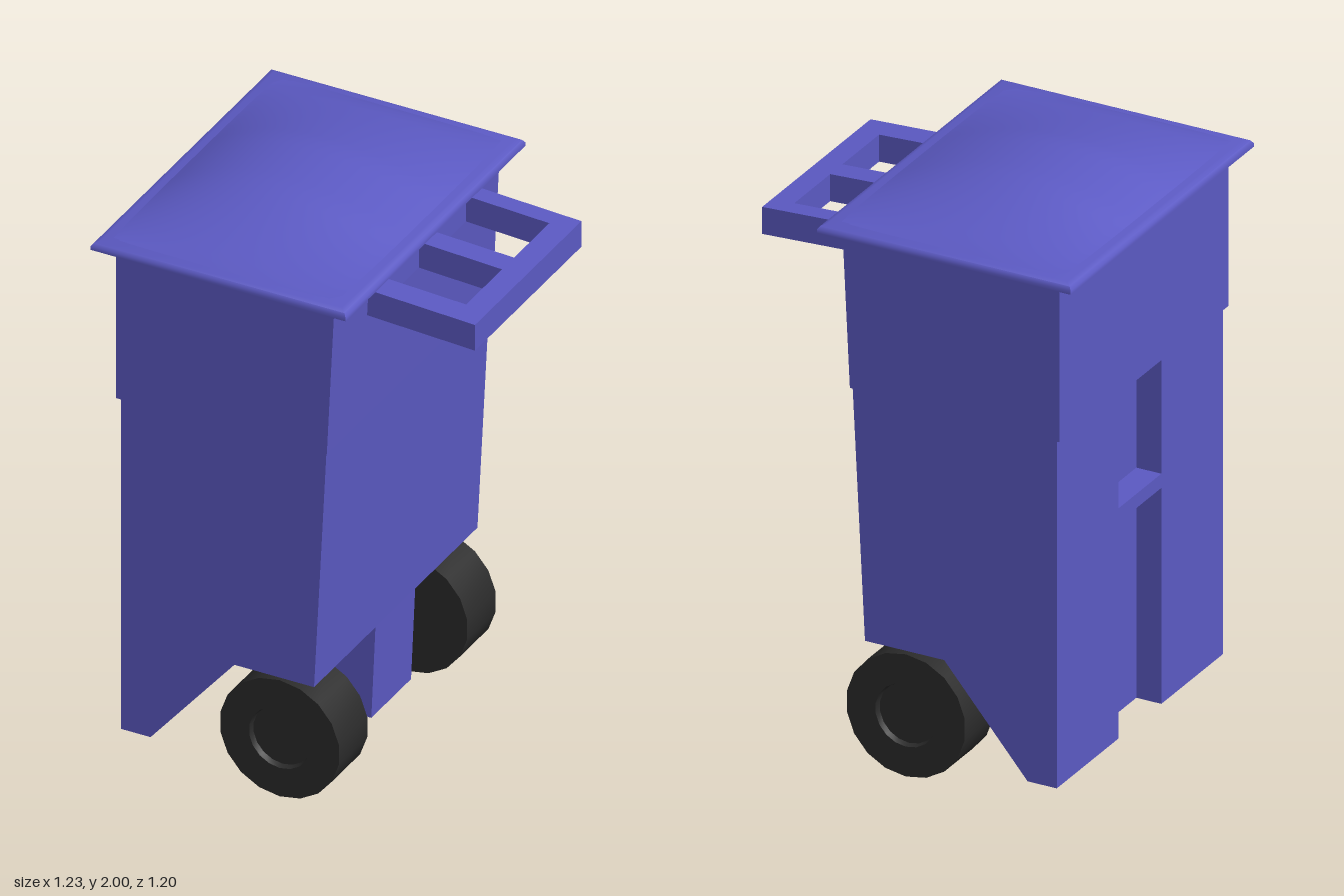
import * as THREE from 'three';
import { toCreasedNormals } from 'three/addons/utils/BufferGeometryUtils.js';

const plastic = new THREE.MeshStandardMaterial({ color: 0x5c5ac4 });
const rubber = new THREE.MeshStandardMaterial({ color: 0x2b2b2b });

const shapeOf = (pts) => new THREE.Shape(pts.map(([x, y]) => new THREE.Vector2(x, y)));

// Extrude a side profile (x, y) between two z values
function slab(name, pts, z0, z1) {
  const geo = new THREE.ExtrudeGeometry(shapeOf(pts), { depth: z1 - z0, bevelEnabled: false });
  geo.translate(0, 0, z0);
  const mesh = new THREE.Mesh(geo, plastic);
  mesh.name = name;
  return mesh;
}

function box(name, x0, x1, y0, y1, z0, z1) {
  const geo = new THREE.BoxGeometry(x1 - x0, y1 - y0, z1 - z0);
  geo.translate((x0 + x1) / 2, (y0 + y1) / 2, (z0 + z1) / 2);
  const mesh = new THREE.Mesh(geo, plastic);
  mesh.name = name;
  return mesh;
}

// Bin body with sloped wheel recess; the middle slab is set back to leave a groove
function makeBody() {
  const body = new THREE.Group();
  body.name = 'body';
  const profile = (x) => [[x, 0.1], [-0.43, 0.1], [-0.13, 0.455], [0.155, 0.455], [0.2, 1.35], [x, 1.35]];
  body.add(
    slab('bodySideLeft', profile(-0.535), 0.14, 0.545),
    slab('bodySideRight', profile(-0.535), -0.545, -0.14),
    slab('bodyMiddle', profile(-0.445), -0.14, 0.14),
    box('grooveCrossbar', -0.535, -0.44, 0.86, 0.91, -0.14, 0.14),
    slab('axleBlock', [[-0.13, 0.115], [0.14, 0.115], [0.155, 0.46], [-0.13, 0.46]], -0.13, 0.135),
    slab('upperBand', [[-0.55, 1.325], [-0.35, 1.317], [-0.19, 1.314], [0, 1.322], [0.205, 1.337],
      [0.232, 1.89], [-0.55, 1.89]], -0.553, 0.553)
  );
  return body;
}

// Lid: a bevelled rim plate with a domed panel on top
function makeLid() {
  const lid = new THREE.Group();
  lid.name = 'lid';
  const rings = [[0, 1.88], [0, 1.893], [0.008, 1.904], [0.025, 1.911]];
  const pos = [], idx = [];
  rings.forEach(([inset, y]) => {
    const x0 = -0.615 + inset, x1 = 0.297 - inset, z = 0.6 - inset;
    pos.push(x0, y, z, x1, y, z, x1, y, -z, x0, y, -z);
  });
  for (let r = 0; r < rings.length - 1; r++) {
    for (let i = 0; i < 4; i++) {
      const a = r * 4 + i, b = r * 4 + (i + 1) % 4;
      idx.push(a, b, b + 4, a, b + 4, a + 4);
    }
  }
  const t = (rings.length - 1) * 4;
  idx.push(0, 2, 1, 0, 3, 2, t, t + 1, t + 2, t, t + 2, t + 3);
  const rimGeo = new THREE.BufferGeometry();
  rimGeo.setAttribute('position', new THREE.Float32BufferAttribute(pos, 3));
  rimGeo.setIndex(idx);
  const rim = new THREE.Mesh(toCreasedNormals(rimGeo, 0.8), plastic);
  rim.name = 'lidRim';

  // Arched across x, highest along the middle and falling towards both ends
  const domeGeo = new THREE.PlaneGeometry(0.82, 1.12, 24, 24);
  domeGeo.rotateX(-Math.PI / 2);
  const p = domeGeo.attributes.position;
  for (let i = 0; i < p.count; i++) {
    const u = p.getX(i) / 0.41, z = Math.abs(p.getZ(i));
    const arch = Math.max(0, 1 - u * u);
    const fall = z < 0.14 ? 1 : 1 - 0.85 * (z - 0.14) / 0.42;
    const edge = z > 0.555 ? 0 : fall;
    p.setY(i, 1.91 + 0.09 * arch * edge);
    p.setX(i, p.getX(i) - 0.16 - 0.03 * arch);
  }
  domeGeo.computeVertexNormals();
  const dome = new THREE.Mesh(domeGeo, plastic);
  dome.name = 'lidDome';
  lid.add(rim, dome);
  return lid;
}

// Handle frame with two openings, sloping slightly down outwards
function makeHandle() {
  const plan = shapeOf([[0.215, -0.32], [0.61, -0.32], [0.61, 0.39], [0.215, 0.39]]);
  for (const [a, b] of [[-0.23, 0.01], [0.09, 0.325]]) {
    plan.holes.push(new THREE.Path([[0.232, a], [0.232, b], [0.53, b], [0.53, a]]
      .map(([x, y]) => new THREE.Vector2(x, y))));
  }
  const geo = new THREE.ExtrudeGeometry(plan, { depth: 0.095, bevelEnabled: false });
  geo.rotateX(-Math.PI / 2);
  const p = geo.attributes.position;
  for (let i = 0; i < p.count; i++) p.setY(i, p.getY(i) + 1.73 - 0.05 * (p.getX(i) - 0.23));
  geo.computeVertexNormals();
  const handle = new THREE.Mesh(geo, plastic);
  handle.name = 'handle';
  return handle;
}

// Wheel with a shallow hub recess on its outer face
function makeWheel(side) {
  const r = 0.215, w = 0.19;
  const pts = [[0, 0], [r, 0], [r, w], [0.11, w], [0.105, w - 0.02], [0, w - 0.02]]
    .map(([x, y]) => new THREE.Vector2(x, y));
  const geo = toCreasedNormals(new THREE.LatheGeometry(pts, 18), 0.7);
  geo.rotateX(Math.PI / 2);
  const wheel = new THREE.Mesh(geo, rubber);
  wheel.name = side > 0 ? 'wheelLeft' : 'wheelRight';
  if (side < 0) wheel.rotation.y = Math.PI;
  wheel.position.set(0.02, r, side * 0.333);
  return wheel;
}

export function createModel() {
  const model = new THREE.Group();
  model.name = 'wheeledBin';
  model.add(makeBody(), makeLid(), makeHandle(), makeWheel(1), makeWheel(-1));
  return model;
}
